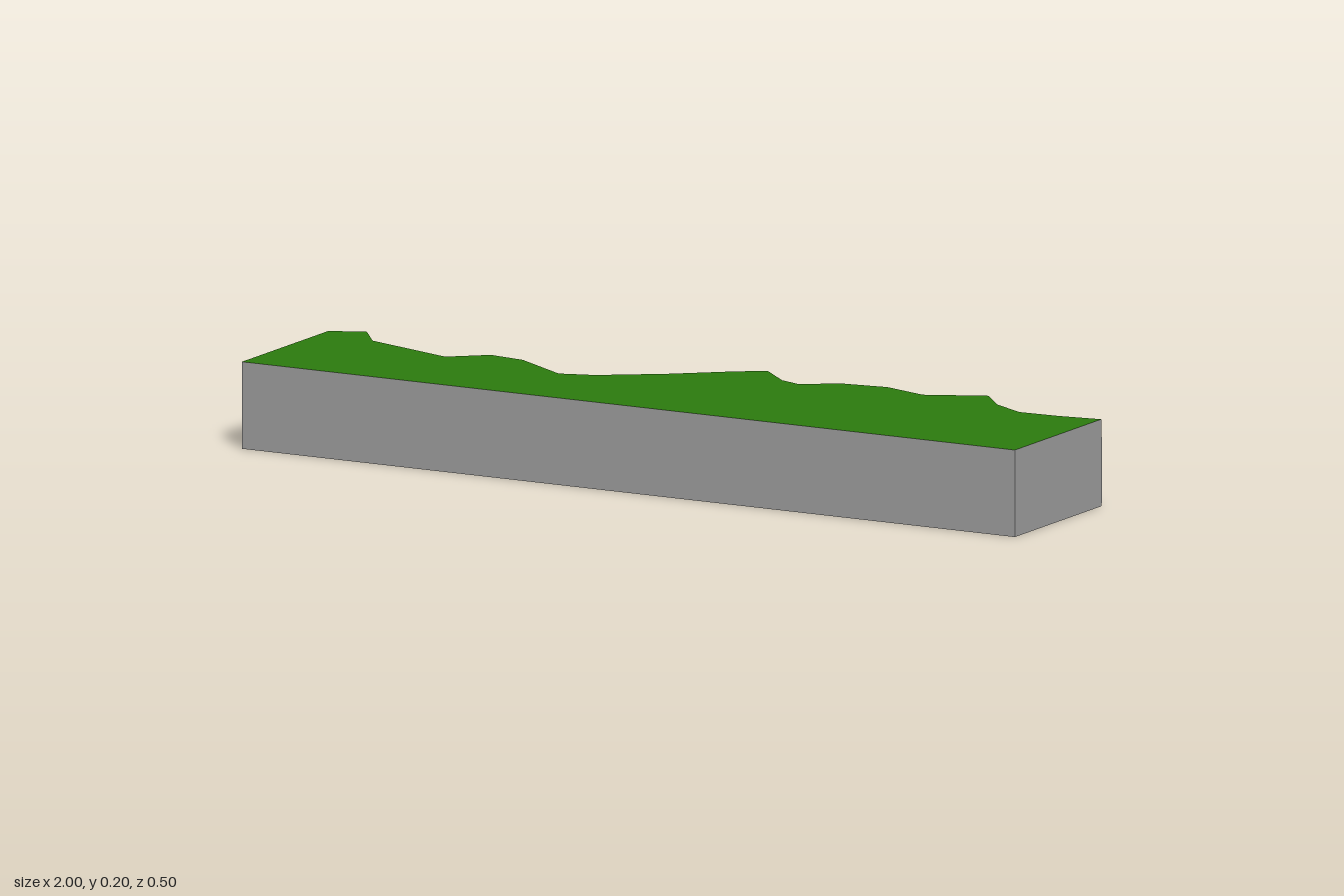
import * as THREE from 'three';

const HEIGHT = 0.2, FRONT = 0.25;

// Cliff edge at the grass, as [x, z] from left to right
const rim = [[-1, -0.145], [-0.92, -0.18], [-0.86, -0.1], [-0.63, -0.025], [-0.55, -0.093], [-0.46, -0.08],
  [-0.315, 0.013], [-0.235, -0.013], [-0.1, -0.105], [0.015, -0.2], [0.08, -0.245], [0.16, -0.17],
  [0.21, -0.152], [0.3, -0.205], [0.405, -0.22], [0.515, -0.185], [0.65, -0.248], [0.715, -0.173],
  [0.8, -0.124], [0.9, -0.13], [1, -0.145]];

// Cliff edge at the ground, point for point below the rim
const foot = [[-1, -0.147], [-0.885, -0.19], [-0.785, -0.11], [-0.61, -0.037], [-0.54, -0.07], [-0.41, -0.077],
  [-0.29, 0.02], [-0.23, -0.003], [-0.1, -0.1], [0.02, -0.205], [0.075, -0.226], [0.165, -0.145],
  [0.21, -0.142], [0.275, -0.205], [0.4, -0.215], [0.52, -0.175], [0.63, -0.224], [0.7, -0.155],
  [0.8, -0.118], [0.9, -0.127], [1, -0.147]];

// Rock layers: height, blend from foot to rim, outward bulge, ripple strength
const layers = [[0, 0, 0, 0], [0.04, 0.1, 0.002, 0.003], [0.085, 0.3, 0.003, 0.006],
  [0.13, 0.65, 0.004, 0.006], [0.165, 0.9, 0.005, 0.003], [0.187, 1, 0.004, 0], [HEIGHT, 1, 0, 0]];

// One closed cross-section: front top, front bottom, then up the cliff
function section(i) {
  const atEnd = i === 0 || i === rim.length - 1;
  const cliff = layers.map(([y, t, bulge, ripple], row) => {
    const x = THREE.MathUtils.lerp(foot[i][0], rim[i][0], t);
    const z = THREE.MathUtils.lerp(foot[i][1], rim[i][1], t);
    const push = atEnd ? Math.min(bulge, 0.002) : bulge + ripple * Math.sin(i * 2.3 + row * 1.9);
    return [x, y, z - push];
  });
  return [[rim[i][0], HEIGHT, FRONT], [foot[i][0], 0, FRONT], ...cliff];
}

function meshFrom(name, positions, material) {
  const geometry = new THREE.BufferGeometry();
  geometry.setAttribute('position', new THREE.Float32BufferAttribute(positions.flat(), 3));
  geometry.computeVertexNormals();
  const mesh = new THREE.Mesh(geometry, material);
  mesh.name = name;
  return mesh;
}

export function createModel() {
  const rock = new THREE.MeshStandardMaterial({ color: 0xa0a0a0 });
  rock.name = 'rock grey';
  const grass = new THREE.MeshStandardMaterial({ color: 0x2c7c0e });
  grass.name = 'grass green';

  const sections = rim.map((_, i) => section(i));
  const count = sections[0].length;
  const block = [], cliff = [], top = [];

  // Strips between neighbouring sections
  for (let i = 0; i < sections.length - 1; i++) {
    for (let j = 0; j < count; j++) {
      const k = (j + 1) % count;
      const a = sections[i][j], b = sections[i][k], c = sections[i + 1][k], d = sections[i + 1][j];
      const target = j === count - 1 ? top : j < 2 ? block : cliff;
      target.push(a, b, c, a, c, d);
    }
  }

  // Flat ends
  const left = sections[0], right = sections[sections.length - 1];
  for (let j = 1; j < count - 1; j++) {
    block.push(right[0], right[j], right[j + 1], left[0], left[j + 1], left[j]);
  }

  const model = new THREE.Group();
  model.name = 'cliffBlock';
  model.add(
    meshFrom('rockBase', block, rock),
    meshFrom('cliffFace', cliff, rock),
    meshFrom('grassTop', top, grass)
  );
  return model;
}
